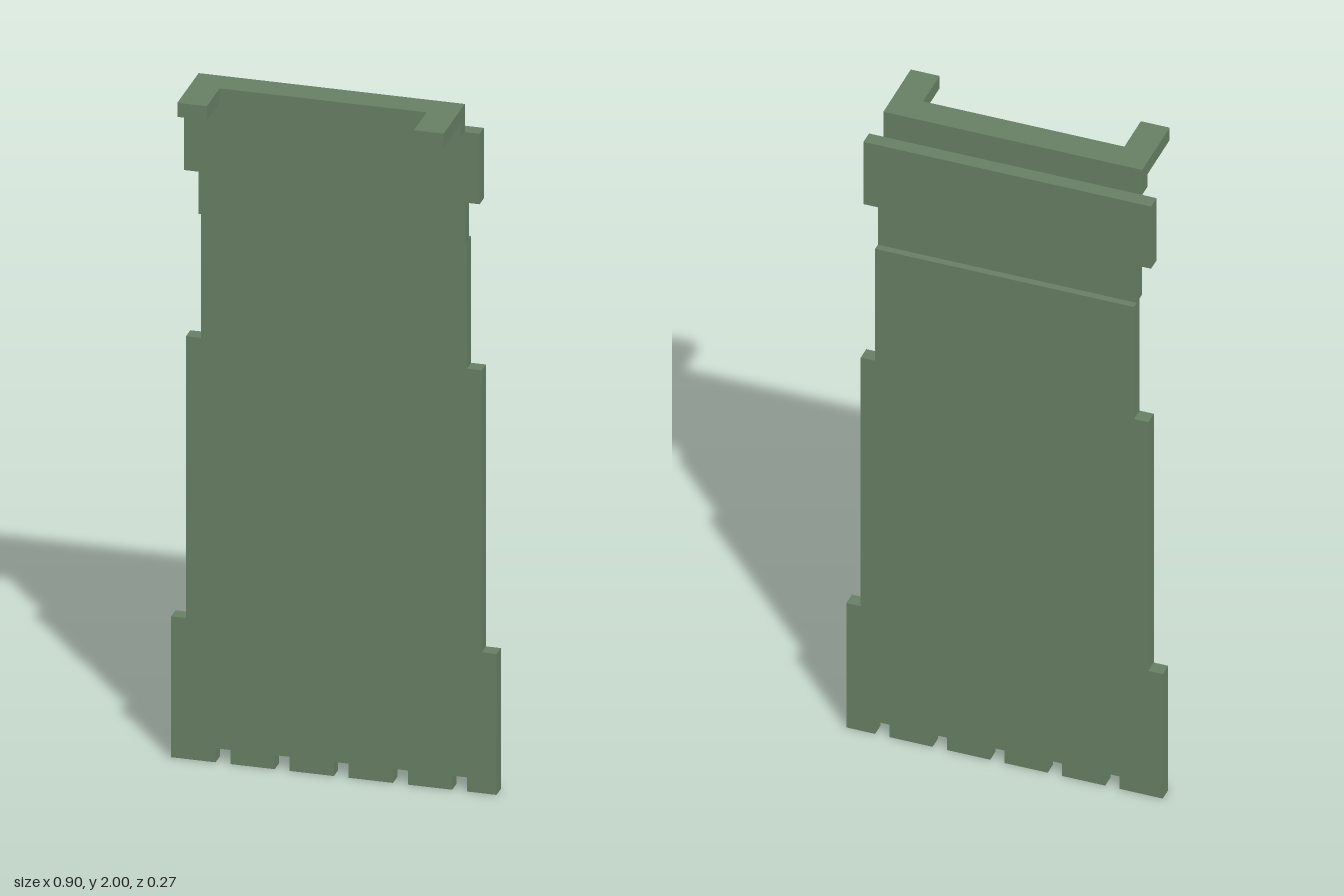
import * as THREE from 'three';

const U = 2 / 49; // one block unit; all part sizes below are in blocks

export function createModel() {
  const model = new THREE.Group();
  model.name = 'cape';
  const cloth = new THREE.MeshStandardMaterial({ color: 0x677f64 });
  cloth.name = 'mossGreen';

  // Flat panel one block thick, cut from an outline, with its back at z
  const panel = (name, points, z) => {
    const shape = new THREE.Shape(points.map(([x, y]) => new THREE.Vector2(x * U, y * U)));
    const geo = new THREE.ExtrudeGeometry(shape, { depth: U, bevelEnabled: false });
    const mesh = new THREE.Mesh(geo, cloth);
    mesh.name = name;
    mesh.position.z = z * U;
    model.add(mesh);
  };

  // Mirror the right-hand steps (top to bottom) on to the left
  const mirrored = (steps) => steps.map(([x, y]) => [-x, y]).reverse();

  // Main cloth, wider towards the hem, with notches along the bottom edge
  const sides = [[9, 39], [9, 30], [10, 30], [10, 10], [11, 10], [11, 0]];
  const hem = [];
  for (const x of [8, 4, 0, -4, -8]) {
    hem.push([x + 1, 0], [x + 1, 1], [x, 1], [x, 0]);
  }
  panel('mainCloth', [...sides, ...hem, ...mirrored(sides)], -3.25);

  // Shoulder cloth, half a block further forward
  const shoulder = [[10, 47], [10, 42], [9, 42], [9, 39]];
  panel('shoulderCloth', [...shoulder, ...mirrored(shoulder)], -2.75);

  // Collar strip joining the shoulder cloth to the yoke
  const strip = [[9, 48], [9, 47]];
  panel('collarStrip', [...strip, ...mirrored(strip)], -1.75);

  // U-shaped yoke lying flat, its two arms reaching forward
  const yokeSide = [[9, -1.75], [9, 3.25], [7, 3.25], [7, 0.25]];
  const yokeShape = new THREE.Shape(
    [...yokeSide, ...mirrored(yokeSide)].map(([x, z]) => new THREE.Vector2(x * U, -z * U)));
  const yokeGeo = new THREE.ExtrudeGeometry(yokeShape, { depth: U, bevelEnabled: false });
  yokeGeo.rotateX(-Math.PI / 2);
  const yoke = new THREE.Mesh(yokeGeo, cloth);
  yoke.name = 'shoulderYoke';
  yoke.position.y = 48 * U;
  model.add(yoke);

  return model;
}
